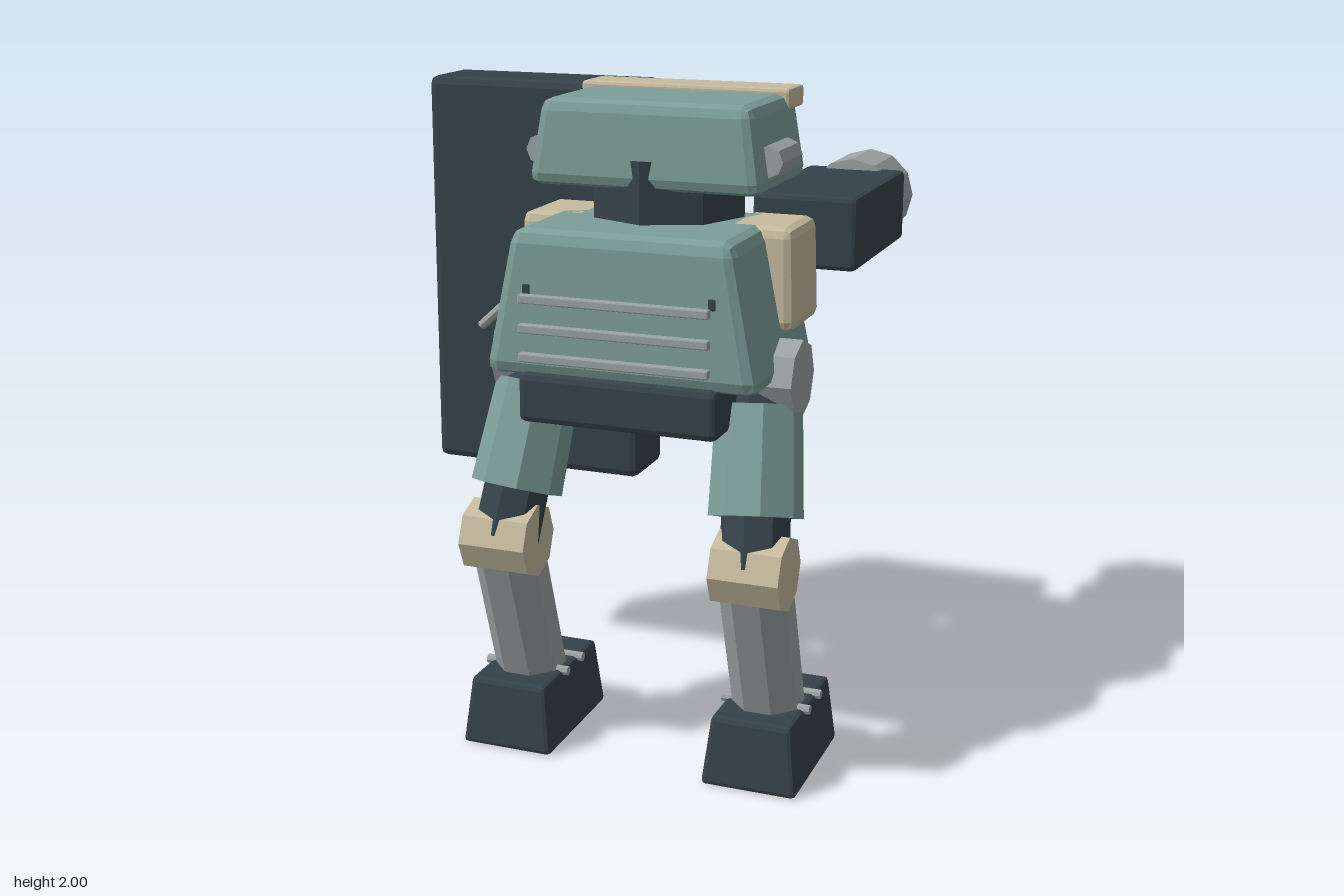
import * as THREE from 'three';
import { RoundedBoxGeometry } from 'three/addons/geometries/RoundedBoxGeometry.js';

const material = (name, color) => {
  const m = new THREE.MeshStandardMaterial({ color });
  m.name = name;
  return m;
};

export function createModel() {
  const green = material('sage armour', 0x7d9e99);
  const dark = material('dark slate', 0x36434b);
  const tan = material('sand', 0xc6bb9f);
  const grey = material('steel grey', 0x9ba4a6);
  const orange = material('orange', 0xc9733c);

  const model = new THREE.Group();
  model.name = 'walkerRobot';
  const CX = 0.187; // centre line of the body; shield balances it on the right

  const add = (name, geometry, mat, parent = model) => {
    const g = geometry.index ? geometry.toNonIndexed() : geometry;
    g.computeVertexNormals(); // faceted normals
    const mesh = new THREE.Mesh(g, mat);
    mesh.name = name;
    parent.add(mesh);
    return mesh;
  };

  // Chamfered box between limits, with the top scaled by topX and topZ
  const box = (name, mat, [x0, x1], [y0, y1], [z0, z1], bevel, topX = 1, topZ = 1, parent = model) => {
    const h = y1 - y0;
    const g = new RoundedBoxGeometry(x1 - x0, h, z1 - z0, 1, bevel);
    const p = g.attributes.position;
    for (let i = 0; i < p.count; i++) {
      const t = p.getY(i) / h + 0.5;
      p.setX(i, p.getX(i) * THREE.MathUtils.lerp(1, topX, t));
      p.setZ(i, p.getZ(i) * THREE.MathUtils.lerp(1, topZ, t));
    }
    const mesh = add(name, g, mat, parent);
    mesh.position.set((x0 + x1) / 2, (y0 + y1) / 2, (z0 + z1) / 2);
    return mesh;
  };

  // Faceted rod from a to b; turn rotates the facets about its axis
  const rod = (name, mat, a, b, ra, rb = ra, sides = 8, turn = 0, parent = model) => {
    const A = new THREE.Vector3(...a), B = new THREE.Vector3(...b);
    const g = new THREE.CylinderGeometry(rb, ra, A.distanceTo(B), sides, 1, false, turn);
    const mesh = add(name, g, mat, parent);
    mesh.position.copy(A).lerp(B, 0.5);
    mesh.quaternion.setFromUnitVectors(new THREE.Vector3(0, 1, 0), B.sub(A).normalize());
    return mesh;
  };

  // Head
  box('head', green, [CX - 0.357, CX + 0.357], [1.735, 1.985], [0.02, 0.488], 0.035, 0.89, 0.92);
  rod('neck', dark, [CX, 1.64, 0.258], [CX, 1.82, 0.258], 0.237);
  box('crest', tan, [CX - 0.328, CX + 0.328], [1.937, 2], [-0.015, 0.135], 0.01);
  box('rearLight', orange, [CX - 0.182, CX + 0.182], [1.83, 1.89], [-0.105, -0.085], 0.004);

  // Torso
  box('torso', green, [CX - 0.42, CX + 0.42], [1.21, 1.637], [0.122, 0.672], 0.04, 0.79, 0.95);
  box('pelvis', dark, [CX - 0.302, CX + 0.302], [1.077, 1.225], [0.167, 0.686], 0.02);
  for (const y of [1.278, 1.362, 1.448])
    box('chestVent', grey, [CX - 0.285, CX + 0.285], [y - 0.013, y + 0.013], [0.688, 0.714], 0.004);

  for (const s of [-1, 1]) {
    const at = (d) => CX + s * d;
    const span = (a, b) => (s > 0 ? [CX + a, CX + b] : [CX - b, CX - a]);
    const side = s > 0 ? 'left' : 'right';

    // Head and torso fittings
    rod(side + 'EarPod', grey, [at(0.347), 1.825, 0.208], [at(0.347), 1.825, 0.398], 0.046);
    box(side + 'ShoulderPad', tan, span(0.2, 0.432), [1.335, 1.637], [0.122, 0.388], 0.03, 0.9, 0.97);
    box(side + 'VentPin', dark, span(0.268, 0.29), [1.45, 1.482], [0.64, 0.668], 0.003);
    for (const y of [1.245, 1.56])
      rod(side + 'BackBolt', grey, [at(0.28), y, 0.105], [at(0.28), y, 0.15], 0.016);

    // Leg
    const leg = new THREE.Group();
    leg.name = side + 'Leg';
    model.add(leg);
    const hip = [at(0.34), 1.21, 0.405], knee = [at(0.39), 0.685, 0.592], ankle = [at(0.39), 0.13, 0.4];
    const along = (t) => hip.map((v, i) => v + (knee[i] - v) * t);
    rod('hipJoint', grey, [at(0.25), hip[1], hip[2]], [at(0.466), hip[1], hip[2]], 0.116, 0.116, 8, 0, leg);
    rod('thighCore', dark, knee, hip, 0.106, 0.1, 8, 0, leg);
    rod('thighArmour', green, along(0.73), along(0.16), 0.138, 0.126, 8, Math.PI / 8, leg);
    rod('kneeJoint', tan, [at(0.285), knee[1], knee[2]], [at(0.495), knee[1], knee[2]], 0.112, 0.112, 8, 0, leg);
    rod('shin', grey, ankle, knee, 0.108, 0.108, 8, Math.PI / 8, leg);
    box('foot', dark, span(0.243, 0.537), [0, 0.215], [0.175, 0.627], 0.015, 0.83, 0.9, leg);
    for (const z of [0.335, 0.452])
      rod('footPin', grey, [at(0.253), 0.212, z], [at(0.527), 0.212, z], 0.015, 0.015, 8, 0, leg);
  }

  // Cannon on the left shoulder, pointing back
  box('cannonHousing', dark, [0.385, 0.709], [1.458, 1.68], [-0.526, 0.068], 0.015);
  const profile = [[0, 0], [0.145, 0], [0.145, 0.245], [0.1, 0.245], [0.1, 0.05], [0, 0.05]];
  const muzzle = add('cannonMuzzle',
    new THREE.LatheGeometry(profile.map(([x, y]) => new THREE.Vector2(x, y)), 12), grey);
  muzzle.rotation.x = -Math.PI / 2;
  muzzle.position.set(0.547, 1.57, -0.47);

  // Shield on the right, with overlapping plates behind and a diagonal handle
  box('shield', dark, [-0.725, -0.01], [0.71, 1.98], [-0.224, 0.012], 0.025);
  for (const y of [0.785, 1.155, 1.525])
    box('shieldPlate', green, [-0.682, -0.054], [y, y + 0.35], [-0.277, -0.19], 0.025, 0.86);
  rod('shieldHandle', grey, [-0.555, 1.175, 0.012], [-0.178, 1.52, 0.012], 0.016);

  return model;
}
